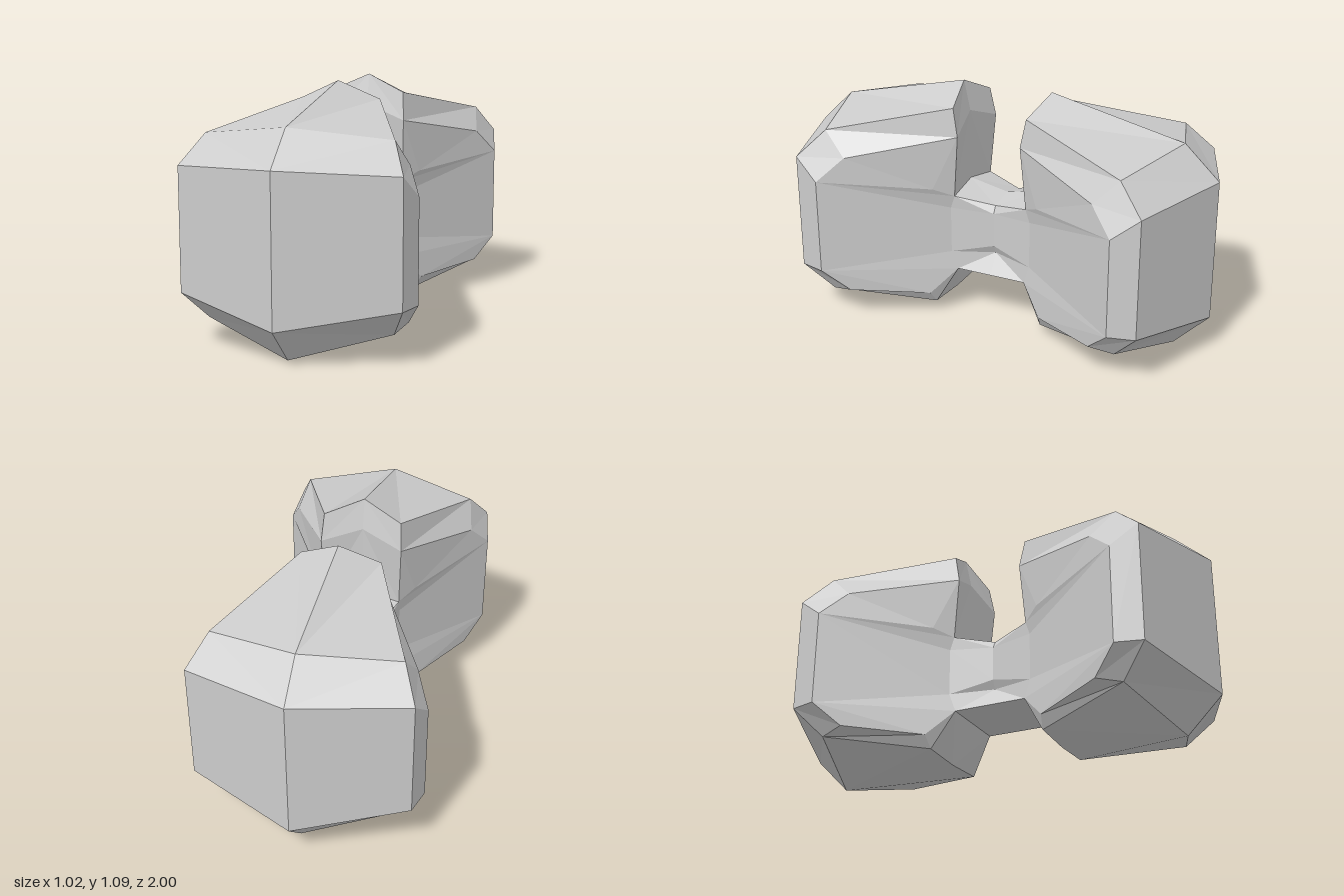
import * as THREE from 'three';

// Corners of the right-hand half of one lobe (mirrored for the rest)
const P = {
  // front face
  frontTop: [0, 0.8, 1], cheekTop: [0.48, 0.775, 0.83],
  frontLow: [0, 0.16, 1], cheekLow: [0.48, 0.24, 0.83],
  // widest section
  crown: [0, 0.95, 0.84], shoulder: [0.41, 0.9, 0.71], sideTop: [0.51, 0.68, 0.71],
  sideLow: [0.51, 0.24, 0.71], heel: [0.41, 0.11, 0.71], keel: [0, 0, 0.84],
  // rear edges
  flankTop: [0.44, 0.79, 0.6], flankLow: [0.44, 0.135, 0.6],
  peak: [0, 1.09, 0.22], peakSide: [0.18, 1.01, 0.18],
  lip: [0, 0.95, 0.19], lipSide: [0.19, 0.88, 0.155], notch: [0.24, 0.63, 0.26],
  tail: [0, 0.04, 0.27], tailSide: [0.21, 0.05, 0.27], tailUp: [0.25, 0.105, 0.28],
  // ring where lobe meets hub
  neckTop: [0, 0.62, 0.19], neckA: [0.18, 0.59, 0.18], neckB: [0.18, 0.53, 0.2],
  neckC: [0.18, 0.31, 0.2], neckD: [0.175, 0.225, 0.17], neckLow: [0, 0.225, 0.17],
  // narrow waist of the hub
  waistTop: [0, 0.58, 0], waistA: [0.12, 0.555, 0], waistB: [0.14, 0.52, 0],
  waistC: [0.14, 0.36, 0], waistD: [0.12, 0.32, 0],
  baseSide: [0.175, 0.225, 0], base: [0, 0.225, 0],
};

const LOBE = [
  'frontTop cheekTop cheekLow frontLow',
  'frontTop crown shoulder cheekTop',
  'frontLow cheekLow heel keel',
  'cheekTop sideTop sideLow cheekLow',
  'cheekTop shoulder flankTop sideTop',
  'cheekLow sideLow flankLow heel',
  'crown peak peakSide shoulder',
  'shoulder peakSide lipSide flankTop',
  'peak lip lipSide peakSide',
  'lip neckTop neckA lipSide',
  'lipSide neckA notch',
  'flankTop lipSide notch',
  'sideTop flankTop notch neckA neckB',
  'sideTop neckB neckC sideLow',
  'sideLow neckC neckD tailUp flankLow',
  'heel flankLow tailUp tailSide',
  'keel heel tailSide tail',
  'tailSide tailUp neckD',
  'tail tailSide neckD neckLow',
];

const HUB = [
  'neckTop neckA waistA waistTop',
  'neckA neckB waistB waistA',
  'neckB neckC waistC waistB',
  'neckC neckD waistD waistC',
  'neckD baseSide waistD',
  'neckLow neckD baseSide base',
];

// Fans each panel into triangles, mirrored in x, all facing away from centre
function panels(faces, centre, zSigns) {
  const pos = [];
  const n = new THREE.Vector3();
  for (const sz of zSigns) for (const sx of [1, -1]) {
    const scale = new THREE.Vector3(sx, 1, sz);
    const mid = new THREE.Vector3(...centre).multiply(scale);
    for (const face of faces) {
      const pts = face.split(' ').map((k) => new THREE.Vector3(...P[k]).multiply(scale));
      for (let i = 1; i < pts.length - 1; i++) {
        let [a, b, c] = [pts[0], pts[i], pts[i + 1]];
        n.crossVectors(b.clone().sub(a), c.clone().sub(a));
        if (n.dot(a.clone().sub(mid)) < 0) [b, c] = [c, b];
        for (const v of [a, b, c]) pos.push(v.x, v.y, v.z);
      }
    }
  }
  const geo = new THREE.BufferGeometry();
  geo.setAttribute('position', new THREE.Float32BufferAttribute(pos, 3));
  geo.computeVertexNormals();
  return geo;
}

export function createModel() {
  const group = new THREE.Group();
  const material = new THREE.MeshStandardMaterial({ color: 0xcccccc, flatShading: true });
  const add = (name, geo) => {
    const mesh = new THREE.Mesh(geo, material);
    mesh.name = name;
    group.add(mesh);
  };
  add('frontLobe', panels(LOBE, [0, 0.5, 0.55], [1]));
  add('backLobe', panels(LOBE, [0, 0.5, 0.55], [-1]));
  add('hub', panels(HUB, [0, 0.42, 0.1], [1, -1]));
  return group;
}
